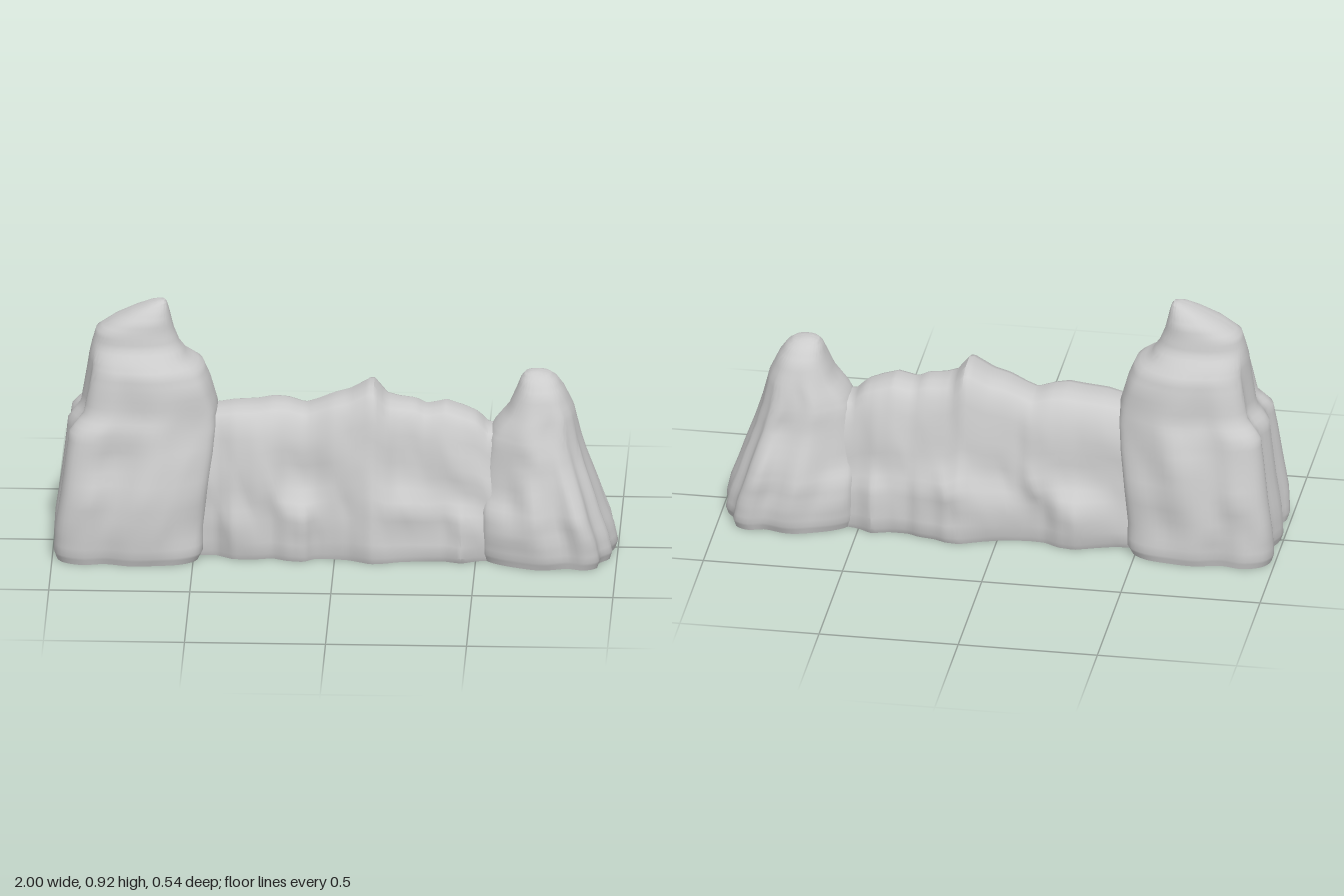
import * as THREE from 'three';
import { toCreasedNormals } from 'three/addons/utils/BufferGeometryUtils.js';

const { lerp, clamp, smoothstep } = THREE.MathUtils;
const material = new THREE.MeshStandardMaterial({ color: 0xcccccc });

// Repeatable value noise in -1..1, linear between cells for faceted rock
function hash(i, j) {
  const s = Math.sin(i * 127.1 + j * 311.7) * 43758.5453;
  return (s - Math.floor(s)) * 2 - 1;
}
function noise(x, y) {
  const i = Math.floor(x), j = Math.floor(y), u = x - i, v = y - j;
  return lerp(lerp(hash(i, j), hash(i + 1, j), u), lerp(hash(i, j + 1), hash(i + 1, j + 1), u), v);
}

// Skin closed rings of points and cap both ends
function loft(name, rings) {
  const n = rings[0].length, pos = [], idx = [];
  rings.forEach(r => r.forEach(p => pos.push(...p)));
  for (let k = 0; k < rings.length - 1; k++) {
    for (let i = 0; i < n; i++) {
      const a = k * n + i, b = k * n + (i + 1) % n;
      idx.push(a, b, b + n, a, b + n, a + n);
    }
  }
  [0, rings.length - 1].forEach((k, end) => {
    const c = pos.length / 3;
    pos.push(...[0, 1, 2].map(d => rings[k].reduce((s, p) => s + p[d], 0) / n));
    for (let i = 0; i < n; i++) {
      const a = k * n + i, b = k * n + (i + 1) % n;
      if (end) idx.push(a, b, c); else idx.push(b, a, c);
    }
  });
  const g = new THREE.BufferGeometry();
  g.setAttribute('position', new THREE.Float32BufferAttribute(pos, 3));
  g.setIndex(idx);
  const mesh = new THREE.Mesh(toCreasedNormals(g, 0.85), material);
  mesh.name = name;
  return mesh;
}

// Interpolate a table of rows keyed by their first column
function sample(table, t) {
  let k = 0;
  while (k < table.length - 2 && t > table[k + 1][0]) k++;
  const a = table[k], b = table[k + 1];
  const f = clamp((t - a[0]) / (b[0] - a[0]), 0, 1);
  return a.map((v, i) => lerp(v, b[i], f));
}

// Lobed footprint of a peak: u points to the outer end, v is depth
function footprint(outerEnd) {
  const half = [...outerEnd, [0.3, 0.92], [-0.05, 1], [-0.42, 0.97], [-0.76, 0.9],
    [-0.96, 0.74], [-1, 0.35], [-1, 0]];
  const mirrored = half.slice(1, -1).reverse().map(([u, v]) => [u, -v]);
  return new THREE.CatmullRomCurve3(
    [...half, ...mirrored].map(([u, v]) => new THREE.Vector3(u, 0, v)), true);
}

// Peak from levels [y, xMin, xMax, half depth, lobe strength, narrowing of the inner end]
function peak(name, side, outline, levels, seed) {
  const N = 84, rings = [];
  for (let k = 0; k < levels.length - 1; k++) {
    const last = k === levels.length - 2;
    for (let s = 0; s < (last ? 4 : 3); s++) {
      const [y, x0, x1, d, lobe, taper] = levels[k].map((v, i) => lerp(v, levels[k + 1][i], s / 3));
      const ring = [];
      for (let i = 0; i < N; i++) {
        const p = outline.getPoint(i / N), a = Math.atan2(p.z, p.x);
        // Plain rounded section that the lobes fade into
        const c = Math.cos(a), q = Math.sin(a);
        const e = Math.pow(Math.abs(c) ** 2.3 + Math.abs(q) ** 2.3, -1 / 2.3);
        // Rough facets on the flanks, calm at both ends and near the summit
        const bump = noise(seed + (q > 0 ? 0 : 30) + 3 * c + y * 2, y * 8);
        const calm = Math.min(1, y * 6) * (1 - smoothstep(y, 0.4, 0.65));
        const rough = 1 + 0.09 * calm * Math.abs(q) * bump;
        const u = lerp(c * e, p.x, lobe), v = lerp(q * e, p.z, lobe) * rough;
        const narrow = 1 - taper * smoothstep(-u, 0.1, 1);
        ring.push([(x0 + x1) / 2 + side * u * (x1 - x0) / 2, y, v * d * narrow]);
      }
      rings.push(side > 0 ? ring.reverse() : ring);
    }
  }
  return loft(name, rings);
}

// Wall stations: [x, top, front foot, front face, back foot, back face]
const stations = [
  [-0.6, 0.5, 0.15, 0.15, 0.15, 0.15], [-0.42, 0.52, 0.14, 0.145, 0.16, 0.155],
  [-0.36, 0.53, 0.18, 0.17, 0.18, 0.155], [-0.28, 0.535, 0.18, 0.18, 0.21, 0.155],
  [-0.22, 0.545, 0.165, 0.17, 0.2, 0.165], [-0.17, 0.54, 0.19, 0.145, 0.17, 0.17],
  [-0.11, 0.52, 0.2, 0.14, 0.165, 0.17], [-0.07, 0.535, 0.165, 0.145, 0.17, 0.155],
  [-0.01, 0.56, 0.165, 0.17, 0.18, 0.16], [0.05, 0.575, 0.175, 0.18, 0.2, 0.175],
  [0.13, 0.62, 0.215, 0.185, 0.235, 0.19], [0.18, 0.56, 0.205, 0.17, 0.23, 0.18],
  [0.22, 0.55, 0.19, 0.145, 0.21, 0.17], [0.28, 0.545, 0.18, 0.14, 0.2, 0.155],
  [0.32, 0.525, 0.175, 0.14, 0.18, 0.15], [0.39, 0.54, 0.175, 0.145, 0.18, 0.155],
  [0.45, 0.52, 0.195, 0.15, 0.2, 0.155], [0.5, 0.5, 0.17, 0.14, 0.17, 0.14],
  [0.54, 0.46, 0.16, 0.14, 0.16, 0.14], [0.66, 0.45, 0.16, 0.14, 0.16, 0.14]];
// Wall section: [depth share, height share] from the ground to the crest
const section = [[0.95, 0], [1, 0.04], [1, 0.12], [0.99, 0.2], [0.98, 0.28], [0.96, 0.34],
  [0.95, 0.4], [0.92, 0.48], [0.88, 0.56], [0.84, 0.64], [0.79, 0.73], [0.72, 0.82],
  [0.62, 0.91], [0.46, 0.975], [0.22, 1]];

function wall() {
  const rings = [], steps = 84;
  for (let k = 0; k <= steps; k++) {
    const x = lerp(-0.6, 0.66, k / steps);
    const [, top, frontFoot, frontFace, backFoot, backFace] = sample(stations, x);
    const edge = (foot, face, dir) => section.map(([w, h]) => {
      // Foot boulders step in to the upper slabs, with slanting facets on both
      const depth = lerp(foot, face, smoothstep(h, 0.3, 0.48));
      const r = 1 + 0.13 * Math.sin(Math.PI * h) * noise(x * 9 + h * 2 * dir + dir * 20, h * 5 + 5);
      return [x, h * top, dir * w * depth * r];
    });
    rings.push([...edge(backFoot, backFace, -1), ...edge(frontFoot, frontFace, 1).reverse()]);
  }
  return loft('rockWall', rings);
}

export function createModel() {
  const group = new THREE.Group();
  group.name = 'rockFormation';
  const squareEnd = footprint([[1, 0], [0.88, 0.4], [0.98, 0.62], [0.9, 0.85], [0.62, 0.97]]);
  const pointedEnd = footprint([[1, 0], [0.9, 0.32], [0.93, 0.48], [0.77, 0.68], [0.74, 0.88], [0.55, 0.98]]);
  group.add(
    peak('tallPeak', -1, squareEnd, [
      [0, -0.99, -0.48, 0.257, 1, 0], [0.03, -1, -0.465, 0.266, 1, 0],
      [0.12, -0.995, -0.465, 0.266, 1, 0.05], [0.25, -0.975, -0.45, 0.256, 1, 0.1],
      [0.38, -0.96, -0.43, 0.235, 0.95, 0.2], [0.47, -0.95, -0.42, 0.215, 0.85, 0.25],
      [0.53, -0.905, -0.42, 0.192, 0.6, 0.2], [0.62, -0.89, -0.445, 0.182, 0.4, 0.1],
      [0.68, -0.88, -0.47, 0.17, 0.2, 0.1], [0.715, -0.875, -0.525, 0.145, 0.1, 0],
      [0.76, -0.865, -0.555, 0.106, 0, 0], [0.81, -0.85, -0.575, 0.096, 0, 0],
      [0.85, -0.79, -0.585, 0.085, 0, 0], [0.885, -0.72, -0.593, 0.06, 0, 0],
      [0.908, -0.665, -0.6, 0.037, 0, 0], [0.917, -0.635, -0.607, 0.018, 0, 0]], 3),
    peak('lowPeak', 1, pointedEnd, [
      [0, 0.53, 0.99, 0.242, 1, 0.15], [0.03, 0.52, 1, 0.253, 1, 0.15],
      [0.1, 0.52, 0.985, 0.255, 1, 0.15], [0.18, 0.52, 0.955, 0.245, 1, 0.2],
      [0.24, 0.525, 0.935, 0.224, 0.9, 0.3], [0.35, 0.53, 0.895, 0.182, 0.6, 0.25],
      [0.43, 0.54, 0.87, 0.163, 0.35, 0.2], [0.47, 0.56, 0.86, 0.15, 0.25, 0.15],
      [0.53, 0.61, 0.845, 0.13, 0.1, 0], [0.6, 0.64, 0.812, 0.104, 0, 0],
      [0.64, 0.655, 0.785, 0.07, 0, 0], [0.66, 0.67, 0.76, 0.042, 0, 0],
      [0.668, 0.69, 0.73, 0.02, 0, 0]], 11),
    wall());
  return group;
}
